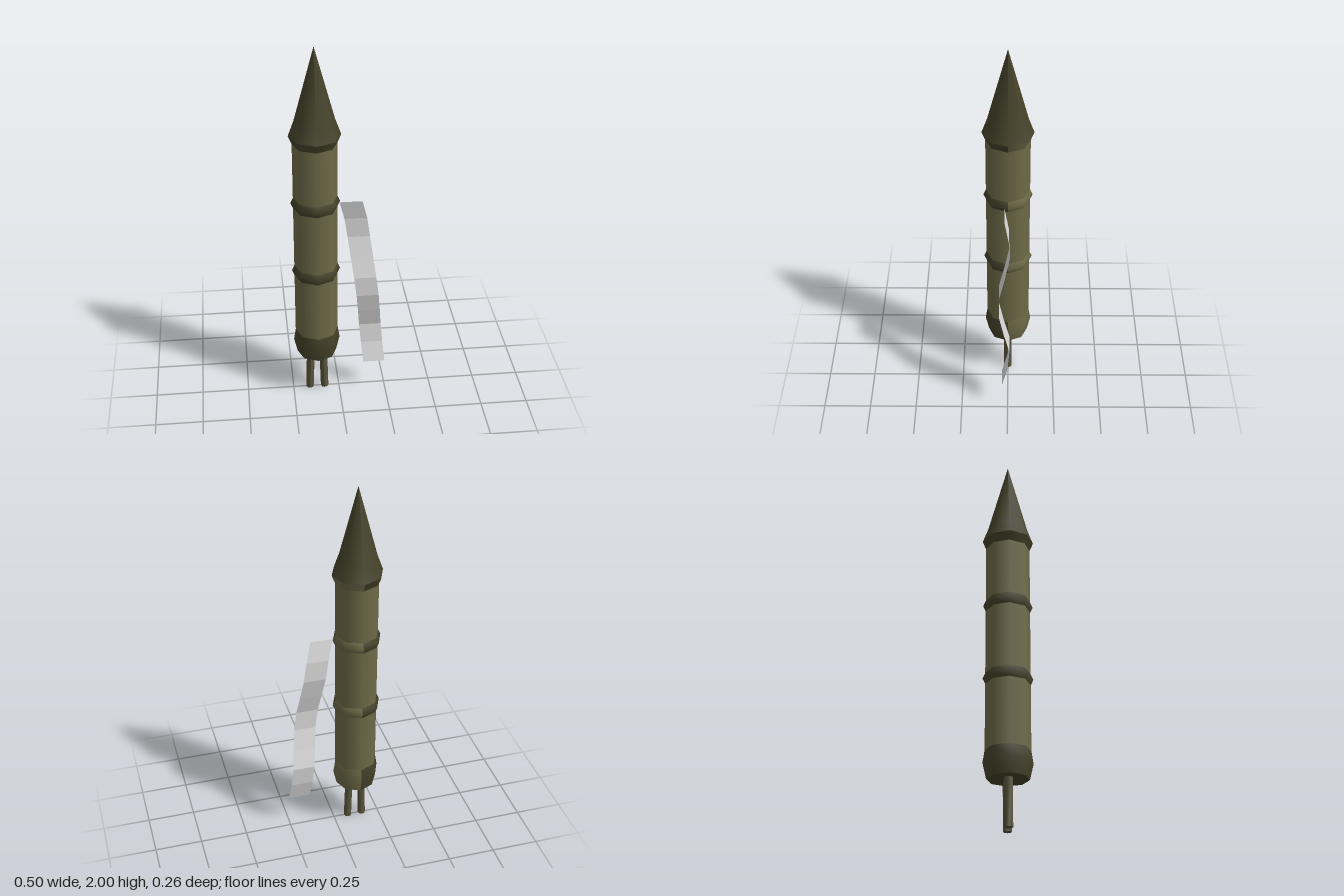
import * as THREE from 'three';

export function createModel() {
  const model = new THREE.Group();
  const mat = (name, color, side = THREE.FrontSide) => {
    const m = new THREE.MeshStandardMaterial({ color, side });
    m.name = name;
    return m;
  };
  const olive = mat('olive', 0x6e6a48);
  const darkOlive = mat('dark olive', 0x454229);
  const legOlive = mat('mid olive', 0x57533a);
  const cloth = mat('pale grey', 0xdcdcdc, THREE.DoubleSide);
  ribbonSafe(cloth);

  const axisX = -0.119;
  const add = (name, geometry, material, x = axisX) => {
    const mesh = new THREE.Mesh(geometry, material);
    mesh.name = name;
    mesh.position.x = x;
    model.add(mesh);
    return mesh;
  };
  // Eight-sided turned section, profile given bottom to top as [radius, y]
  const turned = (profile, segments = 8, start = 0) => new THREE.LatheGeometry(
    profile.map(([r, y]) => new THREE.Vector2(r, y)), segments, start, segments * Math.PI / 4);

  // Straight tube sections
  const R = 0.113;
  for (const [y0, y1] of [[0.39, 0.735], [0.795, 1.135], [1.195, 1.495]]) {
    add('bodySection', turned([[R, y0], [R, y1]]), olive);
  }

  // Bands: dark on three quarters, body colour on the rear left quarter
  const bands = {
    baseBand: [[0.105, 0.245], [0.123, 0.325], [R, 0.39]],
    lowerBand: [[R, 0.735], [0.126, 0.765], [R, 0.795]],
    upperBand: [[R, 1.135], [0.126, 1.165], [R, 1.195]],
    noseCollar: [[R, 1.495], [0.131, 1.54]],
  };
  for (const [name, profile] of Object.entries(bands)) {
    add(name, turned(profile, 6, Math.PI), darkOlive);
    add(name + 'Rear', turned(profile, 2, Math.PI / 2), olive);
  }

  // Nose cone and bottom cap
  add('noseCone', turned([[0.131, 1.54], [0.102, 1.62], [0, 2]]), darkOlive);
  add('bottomCap', turned([[0, 0.245], [0.105, 0.245]]), darkOlive);

  // Two slightly splayed legs
  for (const side of [-1, 1]) {
    const leg = new THREE.CylinderGeometry(0.021, 0.021, 0.26, 8);
    const p = leg.attributes.position;
    for (let i = 0; i < p.count; i++) p.setX(i, p.getX(i) - side * p.getY(i) * 0.025);
    leg.translate(0, 0.13, 0);
    leg.computeVertexNormals();
    add('leg', leg, legOlive, axisX + side * 0.037);
  }

  // Fluttering ribbon: rows of [left edge x, z], evenly spaced downward
  const rows = [[0.002, 0.017], [0.03, -0.006], [0.046, -0.008], [0.061, 0.017], [0.076, 0.045],
    [0.09, 0.045], [0.101, 0.02], [0.111, -0.01], [0.121, 0], [0.131, 0.03]];
  const ribbon = new THREE.PlaneGeometry(1, 1, 1, rows.length - 1);
  const rp = ribbon.attributes.position;
  rows.forEach(([x, z], i) => {
    const y = 1.165 - i * 0.1111;
    rp.setXYZ(i * 2, x, y, z);
    rp.setXYZ(i * 2 + 1, x + 0.117, y, z);
  });
  const flat = ribbon.toNonIndexed();
  flat.computeVertexNormals();
  add('ribbon', flat, cloth, 0);

  return model;
}

// Facets of the ribbon stay crisp
function ribbonSafe(material) {
  material.flatShading = true;
}
